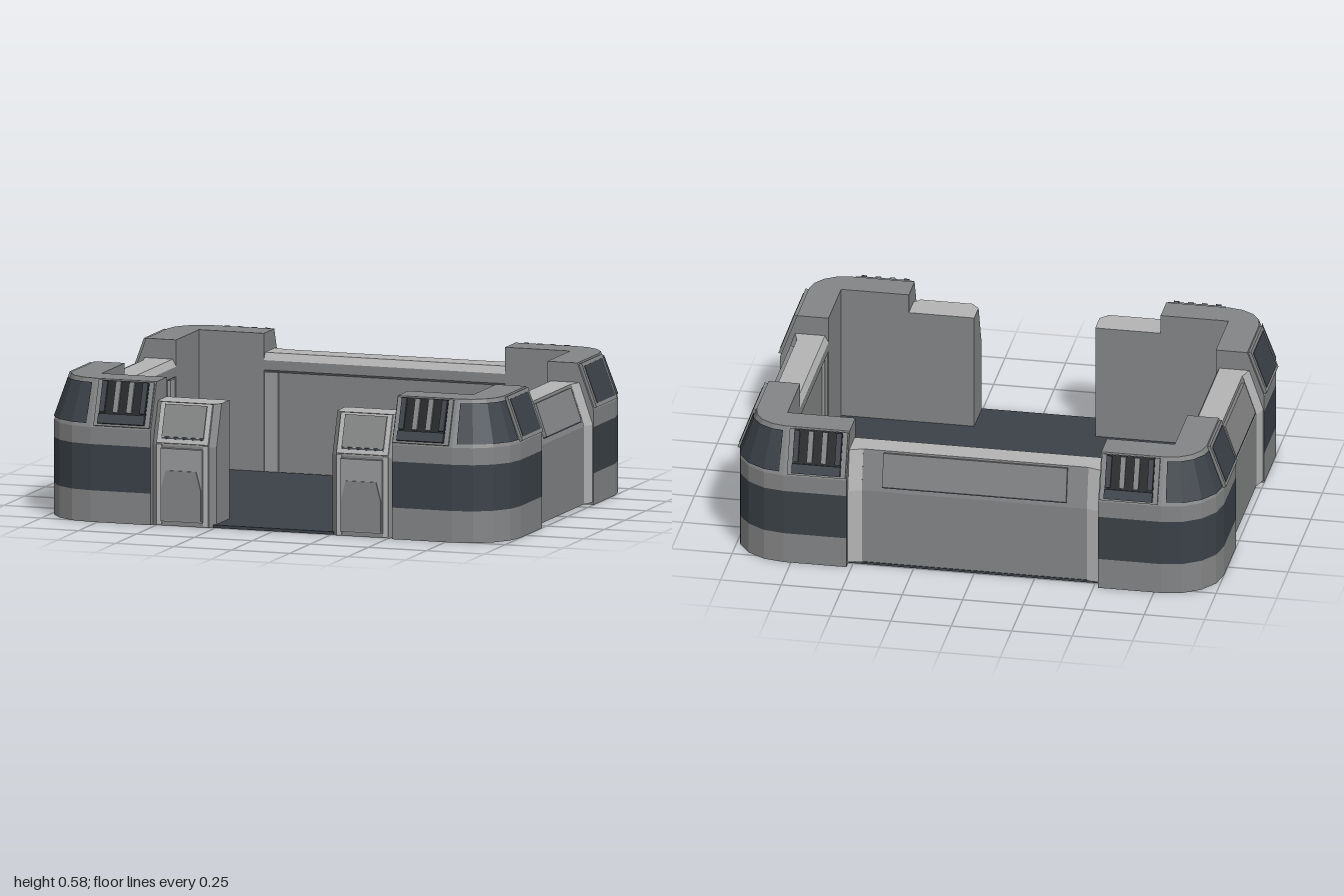
import * as THREE from 'three';

const mat = (name, color) => Object.assign(new THREE.MeshStandardMaterial({ color, flatShading: true }), { name });

export function createModel() {
  const light = mat('light grey', 0xb4b4b4), pale = mat('pale grey', 0x999a9b);
  const mid = mat('mid grey', 0x848586), dark = mat('dark slate', 0x3b4148), black = mat('vent black', 0x1d2023);

  const root = new THREE.Group();
  root.name = 'walledPlatform';
  const body = new THREE.Group();
  body.name = 'body';
  body.position.z = -0.008;
  root.add(body);

  function group(parent, name) {
    const g = new THREE.Group();
    g.name = name;
    parent.add(g);
    return g;
  }
  function box(parent, name, m, w, h, d, x, y, z) {
    const b = new THREE.Mesh(new THREE.BoxGeometry(w, h, d), m);
    b.name = name;
    b.position.set(x, y, z);
    parent.add(b);
    return b;
  }
  // Skin rows of points; mats[i] colours the strip between row i and the next row
  function loft(parent, name, rows, mats, closed = true) {
    const pos = [], g = new THREE.BufferGeometry(), used = [...new Set(mats)];
    const n = rows[0].length, strips = closed ? rows.length : rows.length - 1;
    const tri = (...p) => p.forEach(v => pos.push(...v));
    for (let i = 0; i < strips; i++) {
      const a = rows[i], b = rows[(i + 1) % rows.length], start = pos.length / 3;
      for (let j = 0; j < n - 1; j++) {
        tri(a[j], a[j + 1], b[j + 1]);
        tri(a[j], b[j + 1], b[j]);
      }
      g.addGroup(start, pos.length / 3 - start, used.indexOf(mats[i]));
    }
    if (closed) {
      const start = pos.length / 3;
      for (let i = 1; i < rows.length - 1; i++) {
        tri(rows[0][0], rows[i][0], rows[i + 1][0]);
        tri(rows[0][n - 1], rows[i + 1][n - 1], rows[i][n - 1]);
      }
      g.addGroup(start, pos.length / 3 - start, 0);
    }
    g.setAttribute('position', new THREE.Float32BufferAttribute(pos, 3));
    g.computeVertexNormals();
    const mesh = new THREE.Mesh(g, used);
    mesh.name = name;
    parent.add(mesh);
  }
  // Wall section: profile [z, y, outer?] carried along points [x, outset]
  const wallRows = (profile, pts) => profile.map(([z, y, outer]) => pts.map(([x, o]) => [x, y, z + (outer ? o : 0)]));

  // Floor
  box(body, 'floor', dark, 1.6, 0.012, 1.17, 0, 0.006, 0);
  box(body, 'frontThreshold', dark, 0.52, 0.012, 0.17, 0, 0.006, 0.67);
  box(body, 'backSill', dark, 1.04, 0.01, 0.07, 0, 0.005, -0.703);

  // Rounded corner blocks
  const ARC = 4;
  const arc = off => Array.from({ length: ARC + 1 }, (_, i) => {
    const a = Math.PI / 2 * (1 - i / ARC);
    return [0.78 + (0.22 - off) * Math.cos(a), 0.57 + (0.21 - off) * Math.sin(a)];
  });
  const outline = off => [[0.52, 0.78 - off], ...arc(off), [1 - off, 0.31]];
  const inner = [[0.52, 0.585], ...Array(ARC + 1).fill([0.8, 0.585]), [0.8, 0.31]];
  const at = (pts, y) => pts.map(([x, z]) => [x, y, z]);
  const tilt = Math.atan(0.07 / 0.19);

  function slopeFace(parent, name, x, z) {
    const g = group(parent, name);
    g.position.set(x, 0.485, z);
    g.rotation.x = -tilt;
    return g;
  }
  function corner(name, sx, sz) {
    const c = group(body, name);
    c.scale.set(sx, 1, sz);
    loft(c, 'cornerBlock', [
      at(outline(0), 0), at(outline(0), 0.13), at(outline(0), 0.32), at(outline(0), 0.39),
      at(outline(0.07), 0.58), at(inner, 0.58), at(inner, 0),
    ], [mid, dark, mid, mid, mid, mid, mid]);

    // Curved window, stopping short of the curve's ends
    const band = (off, y) => {
      const p = arc(off - 0.007), mix = (a, b) => a.map((v, i) => v + (b[i] - v) * 0.22);
      p[0] = mix(p[0], p[1]);
      p[ARC] = mix(p[ARC], p[ARC - 1]);
      return at(p, y);
    };
    loft(c, 'curvedWindow', [band(0.006, 0.405), band(0.064, 0.565)], [dark], false);

    // Vent with upright ribs
    const vent = slopeFace(c, 'vent', 0.645, 0.745);
    box(vent, 'ventFrame', mid, 0.24, 0.19, 0.02, 0, 0, 0);
    box(vent, 'ventBack', black, 0.2, 0.17, 0.006, 0, 0.008, 0.011);
    for (let i = 0; i < 4; i++) box(vent, 'ventRib', i % 3 ? mid : dark, 0.022, 0.13, 0.02, -0.087 + i * 0.058, 0.025, 0.014);
    box(vent, 'ventBar', dark, 0.2, 0.04, 0.026, 0, -0.067, 0.012);

    // Flat window on the flank
    const flank = group(c, 'flank');
    flank.rotation.y = Math.PI / 2;
    const win = slopeFace(flank, 'flankWindow', -0.447, 0.965);
    box(win, 'windowFrame', mid, 0.25, 0.19, 0.024, 0, 0, 0);
    box(win, 'windowPane', dark, 0.215, 0.16, 0.006, 0, 0, 0.011);
  }
  corner('frontLeftCorner', 1, 1);
  corner('frontRightCorner', -1, 1);
  corner('backLeftCorner', 1, -1);
  corner('backRightCorner', -1, -1);

  // Walls, built facing +z and turned into place
  function wall(name, turn, half, zIn, zOut, zTop, panelW) {
    const w = group(body, name);
    w.rotation.y = turn;
    const profile = [
      [zOut, 0.01, 1], [zOut, 0.33, 1], [zTop, 0.5, 1], [zIn + 0.015, 0.5], [zIn, 0.47],
      [zIn, 0.43], [zIn + 0.015, 0.42], [zIn + 0.015, 0],
    ];
    loft(w, 'wallBody', wallRows(profile, [[-half, 0], [half, 0]]), [mid, mid, light, light, mid, mid, mid, mid]);
    const edge = profile.slice(0, 3).concat([[zIn + 0.05, 0.5], [zIn + 0.05, 0.01]]);
    const e = half - 0.055;
    loft(w, 'edgeStrip', wallRows(edge, [[e, 0.001], [half, 0.018]]), Array(5).fill(light));
    loft(w, 'edgeStrip', wallRows(edge, [[-half, 0.018], [-e, 0.001]]), Array(5).fill(light));
    for (const s of [-1, 1]) box(w, 'innerStrip', pale, 0.06, 0.41, 0.012, s * (half - 0.03), 0.216, zIn + 0.01);
    const p = group(w, 'wallPanel');
    p.position.set(0, 0.424, (zOut + zTop) / 2 + 0.002);
    p.rotation.x = -Math.atan((zOut - zTop) / 0.17);
    box(p, 'panelPlate', mid, panelW, 0.14, 0.02, 0, 0, 0);
    box(p, 'panelShadowGap', dark, panelW, 0.006, 0.016, 0, -0.073, 0);
  }
  wall('backWall', Math.PI, 0.52, 0.585, 0.735, 0.7, 0.76);
  wall('leftWall', Math.PI / 2, 0.31, 0.8, 0.978, 0.92, 0.42);
  wall('rightWall', -Math.PI / 2, 0.31, 0.8, 0.978, 0.92, 0.42);

  // Gate posts either side of the front opening
  const arch = new THREE.Shape([[-0.085, 0], [0.085, 0], [0.085, 0.13], [0.065, 0.205], [-0.065, 0.205], [-0.085, 0.13]]
    .map(p => new THREE.Vector2(...p)));
  for (const s of [1, -1]) {
    const post = group(body, s > 0 ? 'leftPost' : 'rightPost');
    post.scale.x = s;
    loft(post, 'postBody', wallRows(
      [[0.765, 0, 1], [0.765, 0.33, 1], [0.705, 0.5, 1], [0.585, 0.5], [0.585, 0]],
      [[0.25, -0.025], [0.275, 0], [0.5, 0], [0.53, -0.02]]), [mid, mid, light, mid, mid]);
    for (const x of [0.288, 0.488]) box(post, 'postTrim', light, 0.022, 0.33, 0.012, x, 0.17, 0.764);
    box(post, 'lowerPanel', pale, 0.18, 0.3, 0.024, 0.388, 0.17, 0.77);
    const plate = new THREE.Mesh(new THREE.ExtrudeGeometry(arch, { depth: 0.006, bevelEnabled: false }), mid);
    plate.name = 'archPlate';
    plate.position.set(0.388, 0.025, 0.781);
    post.add(plate);
    const top = group(post, 'upperFace');
    top.position.set(0.388, 0.418, 0.735);
    top.rotation.x = -Math.atan(0.06 / 0.17);
    box(top, 'upperFrame', light, 0.222, 0.17, 0.014, 0, 0, 0);
    box(top, 'upperPanel', mid, 0.18, 0.135, 0.026, 0, 0.008, 0);
    box(top, 'panelShadowGap', dark, 0.18, 0.007, 0.018, 0, -0.064, 0);
  }
  return root;
}
